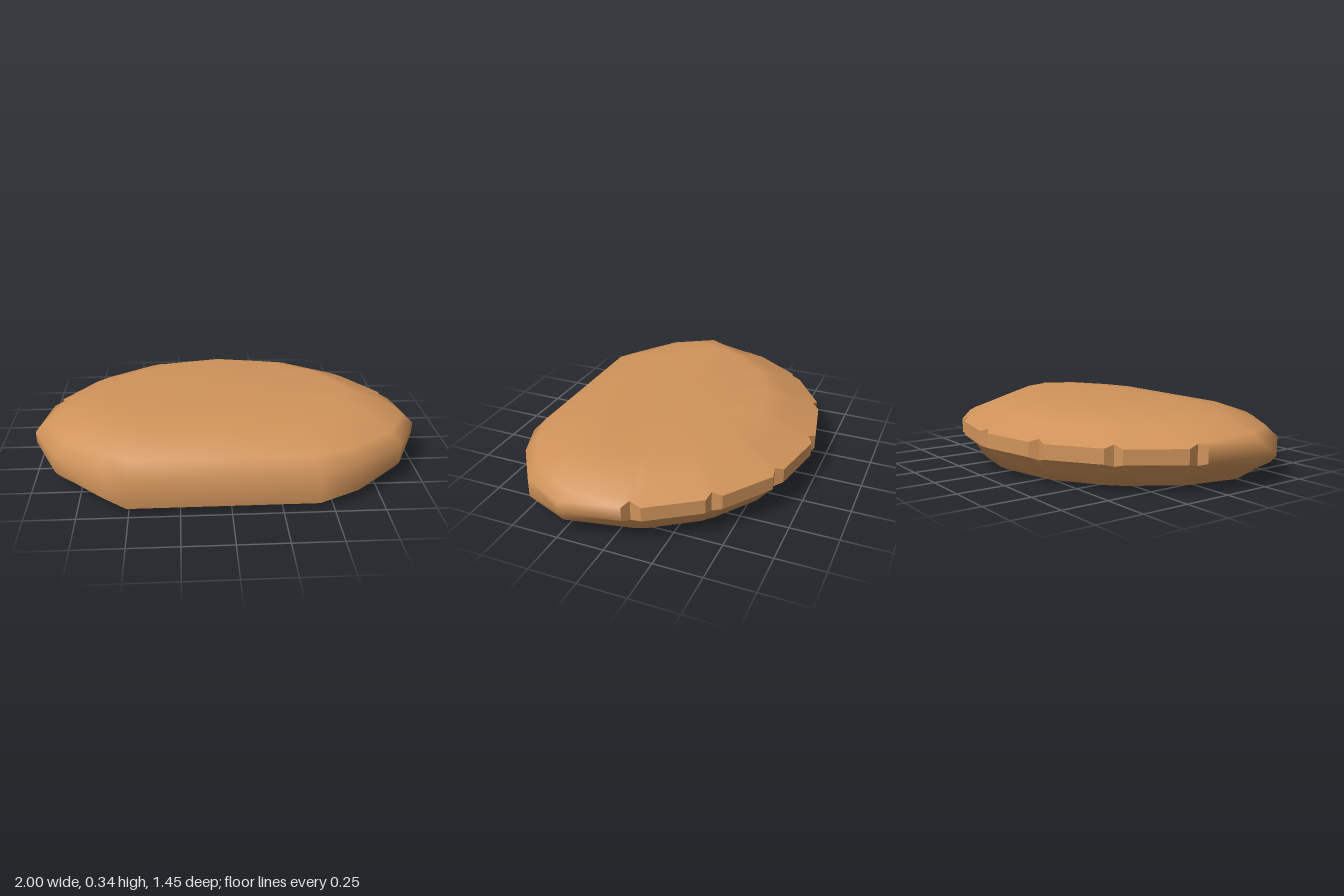
import * as THREE from 'three';
import { toCreasedNormals } from 'three/addons/utils/BufferGeometryUtils.js';

// Half outline from back centre to front centre: x, z, low rim height, high rim height, notch flag
const HALF = [
  [0, -0.695, 0.13, 0.235, 1], [0.04, -0.725, 0.145, 0.22, 0], [0.34, -0.665, 0.145, 0.22, 0],
  [0.37, -0.625, 0.13, 0.235, 1], [0.425, -0.635, 0.145, 0.22, 0], [0.672, -0.465, 0.145, 0.22, 0],
  [0.682, -0.415, 0.13, 0.235, 1], [0.735, -0.405, 0.145, 0.22, 0], [0.907, -0.155, 0.145, 0.22, 0],
  [0.895, -0.095, 0.13, 0.235, 1], [0.94, -0.07, 0.145, 0.22, 0], [1, 0.23, 0.15, 0.21, 0],
  [0.875, 0.47, 0.1, 0.2, 0], [0.635, 0.64, 0.05, 0.19, 0], [0.47, 0.72, 0.03, 0.185, 0],
  [0, 0.72, 0.03, 0.185, 0],
];
const { lerp, smoothstep } = THREE.MathUtils;

// Closed outline, clockwise from above
function fullOutline() {
  const point = ([x, z, low, high, notch], side) =>
    ({ x: side * x - (z > 0.7 ? 0.04 : 0), z, low, high, notch });
  const right = HALF.map((p) => point(p, 1));
  const left = HALF.slice(1, -1).reverse().map((p) => point(p, -1));
  return [...right, ...left];
}

// One vertical section of the dough, from top to bottom
function section(outline, i) {
  const p = outline[i], n = outline.length;
  const a = outline[(i + n - 1) % n], b = outline[(i + 1) % n];
  // notches bite only into the rim, so the shell skips over them
  const x = p.notch ? (a.x + b.x) / 2 : p.x;
  const z = p.notch ? (a.z + b.z) / 2 : p.z;
  const front = smoothstep(z, -0.1, 0.25);
  const topX = x * 0.68, topZ = z * (z < 0 ? 0.57 : 0.39);
  const upper = (t, bulge) => [lerp(topX, x, t),
    lerp(0.34, 0.22 - 0.03 * front, lerp(t, bulge, front)), lerp(topZ, z, t)];
  const s = lerp(0.93, 0.97, front);
  return [
    [topX, 0.34, topZ],
    upper(0.45, 0.13),
    upper(0.85, 0.56),
    [p.x, p.high, p.z],
    [p.x, p.low, p.z],
    [x * s, lerp(0.105, lerp(p.low, 0.02, 0.45), front), z * s],
    [x * 0.87, 0.02, z * 0.85],
    [x * 0.7, 0, z * (z < 0 ? 0.6 : 0.42)],
  ];
}

export function createModel() {
  const group = new THREE.Group();
  group.name = 'pastry';
  const dough = new THREE.MeshStandardMaterial({ color: 0xd0935a });
  dough.name = 'baked dough';

  const outline = fullOutline();
  const n = outline.length;
  const sections = outline.map((p, i) => section(outline, i));
  const rings = sections[0].length;
  const positions = sections.flat(2);
  const topCentre = n * rings, bottomCentre = topCentre + 1;
  positions.push(0, 0.34, 0, 0, 0, 0);

  const bodyFaces = [], rimFaces = [];
  for (let i = 0; i < n; i++) {
    const j = (i + 1) % n;
    const crimped = outline[i].z < 0 && outline[j].z < 0;
    for (let r = 0; r < rings - 1; r++) {
      const u0 = i * rings + r, u1 = j * rings + r;
      const target = r === 3 && crimped ? rimFaces : bodyFaces;
      target.push(u1, u1 + 1, u0 + 1, u1, u0 + 1, u0);
    }
    bodyFaces.push(topCentre, j * rings, i * rings);
    bodyFaces.push(bottomCentre, (i + 1) * rings - 1, (j + 1) * rings - 1);
  }

  const build = (faces) => {
    const g = new THREE.BufferGeometry();
    g.setAttribute('position', new THREE.Float32BufferAttribute(positions, 3));
    g.setIndex(faces);
    return g;
  };

  // Smooth filled body
  const bodyGeometry = build(bodyFaces);
  bodyGeometry.computeVertexNormals();
  const body = new THREE.Mesh(bodyGeometry, dough);
  body.name = 'doughBody';

  // Sharp notched rim round the back
  const rim = new THREE.Mesh(toCreasedNormals(build(rimFaces), 0.6), dough);
  rim.name = 'crimpedEdge';

  group.add(body, rim);
  return group;
}
